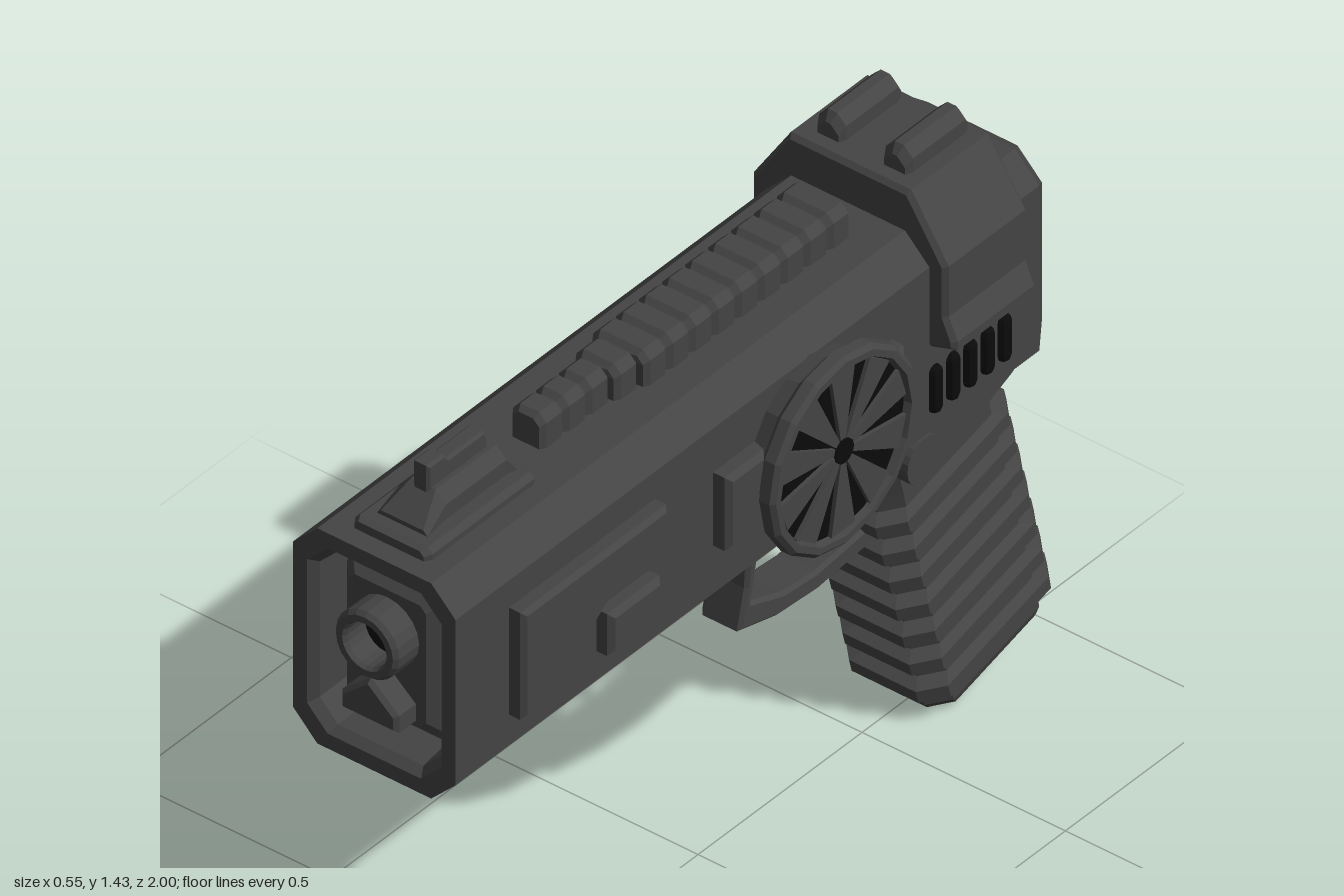
import * as THREE from 'three';

const CX = -0.014; // centre line of the body
const grey = new THREE.MeshStandardMaterial({ color: 0x444444, flatShading: true });
const dark = new THREE.MeshStandardMaterial({ color: 0x0b0b0b, flatShading: true });

// Skin of eight-sided sections [z, halfX, halfY, chamfer, yCentre]
function loft(sections) {
  const pos = [], index = [];
  for (const [z, w, h, c, y = 0] of sections) {
    const ring = [[w, -h + c], [w, h - c], [w - c, h], [-w + c, h],
      [-w, h - c], [-w, -h + c], [-w + c, -h], [w - c, -h]];
    for (const [px, py] of ring) pos.push(px, py + y, z);
  }
  const last = (sections.length - 1) * 8;
  for (let s = 0; s < last; s += 8)
    for (let i = 0; i < 8; i++) {
      const j = (i + 1) % 8;
      index.push(s + i, s + j, s + 8 + j, s + i, s + 8 + j, s + 8 + i);
    }
  for (let i = 1; i < 7; i++) index.push(0, i + 1, i, last, last + i, last + i + 1);
  const g = new THREE.BufferGeometry();
  g.setAttribute('position', new THREE.Float32BufferAttribute(pos, 3));
  g.setIndex(index);
  g.computeVertexNormals();
  return g;
}

const shapeOf = pts => new THREE.Shape(pts.map(p => new THREE.Vector2(...p)));

// Outline in (z, y) given thickness from x0 to x1, with a small bevel
function side(pts, x0, x1, bevel = 0.008, hole) {
  const shape = shapeOf(pts);
  if (hole) shape.holes.push(shapeOf(hole));
  const g = new THREE.ExtrudeGeometry(shape, {
    depth: x1 - x0 - 2 * bevel, bevelEnabled: bevel > 0, bevelThickness: bevel,
    bevelSize: bevel, bevelOffset: -bevel, bevelSegments: 1, curveSegments: 8,
  });
  return g.rotateY(-Math.PI / 2).translate(x1 - bevel, 0, 0);
}

const rect = (a, b, c, d) => [[a, c], [b, c], [b, d], [a, d]];

export function createModel() {
  const model = new THREE.Group();
  const body = new THREE.Group();
  body.name = 'body';
  body.position.x = CX;
  model.add(body);
  const add = (name, geo, mat = grey, parent = body) => {
    const m = new THREE.Mesh(geo, mat);
    m.name = name;
    parent.add(m);
    return m;
  };

  // Long slide with a recessed muzzle and recessed rear plate
  const yc = 1.0275;
  add('slide', loft([
    [-0.835, 0.10, 0.15, 0.04, yc], [-0.855, 0.115, 0.165, 0.045, yc], [-0.855, 0.17, 0.225, 0.06, yc],
    [-0.81, 0.2, 0.2575, 0.06, yc], [0.97, 0.2, 0.2575, 0.06, yc], [0.97, 0.165, 0.222, 0.05, yc],
    [0.95, 0.15, 0.207, 0.045, yc], [0.87, 0.145, 0.2, 0.045, yc]]));

  // Muzzle plate, barrel and lower wedge
  add('muzzlePlate', loft([[0.86, 0.115, 0.165, 0.015, 1.035], [0.91, 0.115, 0.165, 0.015, 1.035],
    [0.93, 0.095, 0.145, 0.015, 1.035]]));
  const barrel = [[0.078, 0], [0.078, 0.1], [0.07, 0.11], [0.055, 0.11], [0.05, 0.1], [0.05, 0]];
  add('barrel', new THREE.LatheGeometry(barrel.map(p => new THREE.Vector2(...p)), 20)
    .rotateX(Math.PI / 2).translate(0, 1.085, 0.89));
  add('bore', new THREE.CircleGeometry(0.052, 20).translate(0, 1.085, 0.935), dark);
  add('muzzleWedge', new THREE.ExtrudeGeometry(
    shapeOf([[-0.07, 0.9], [0.07, 0.9], [0.07, 0.94], [0, 1.0], [-0.07, 0.94]]),
    { depth: 0.07, bevelThickness: 0.01, bevelSize: 0.008, bevelOffset: -0.008, bevelSegments: 1 })
    .translate(0, 0, 0.91));

  // Saddle collar over the rear, flared at its lower edge
  const half = [[0.2, 1.03], [0.262, 1.05], [0.262, 1.07], [0.24, 1.12], [0.24, 1.24], [0.148, 1.38]];
  const saddle = [...half, ...half.map(([x, y]) => [-x, y]).reverse()];
  add('rearCollar', new THREE.ExtrudeGeometry(shapeOf(saddle),
    { depth: 0.232, bevelThickness: 0.01, bevelSize: 0.01, bevelOffset: -0.01, bevelSegments: 1 })
    .translate(0, 0, -0.717));

  // Rear sight posts
  for (const s of [-1, 1])
    add('rearSight', loft([[-0.705, 0.026, 0.04, 0.02, 1.375], [-0.69, 0.033, 0.06, 0.022, 1.375],
      [-0.53, 0.033, 0.06, 0.022, 1.375], [-0.515, 0.026, 0.04, 0.02, 1.375]])).position.x = s * 0.082;

  // Front sight: stepped base and blade
  add('frontSightFoot', loft([[0.587, 0.085, 0.02, 0.01, 1.285], [0.6, 0.095, 0.025, 0.012, 1.285],
    [0.91, 0.095, 0.025, 0.012, 1.285], [0.925, 0.085, 0.02, 0.01, 1.285]]));
  add('frontSightBase', loft([[0.61, 0.062, 0.02, 0.01, 1.3], [0.635, 0.055, 0.07, 0.025, 1.3],
    [0.82, 0.055, 0.07, 0.025, 1.3], [0.885, 0.062, 0.02, 0.01, 1.3]]));
  add('frontSightBlade', side([[0.64, 1.35], [0.83, 1.35], [0.83, 1.425], [0.78, 1.425],
    [0.765, 1.41], [0.655, 1.41]], -0.02, 0.02, 0.006));

  // Notched top rail, narrowing toward the muzzle
  const top = [];
  for (let i = 0; i < 13; i++) {
    const z = -0.4 + i * 0.07, w = i < 9 ? 0.07 : i === 9 ? 0.055 : 0.041;
    top.push([z, w - 0.008, 0.052, 0.015, 1.3], [z + 0.01, w, 0.062, 0.018, 1.3],
      [z + 0.055, w, 0.062, 0.018, 1.3], [z + 0.068, w - 0.008, 0.052, 0.015, 1.3]);
  }
  add('topRail', loft(top));

  // Lower rail: front block, tip and ribbed strip
  add('lowerRailBlock', side([[0.81, 0.78], [0.82, 0.71], [0.8, 0.7], [0.6, 0.7], [0.52, 0.745], [0.5, 0.78]], -0.1, 0.1, 0.012));
  add('lowerRailTip', side(rect(0.8, 0.9, 0.725, 0.78), -0.085, 0.085));
  const under = [];
  for (let i = 0; i < 9; i++) {
    const z = 0.005 + i * 0.058;
    under.push([z, 0.07, 0.035, 0.012, 0.78], [z + 0.01, 0.08, 0.046, 0.015, 0.78],
      [z + 0.044, 0.08, 0.046, 0.015, 0.78], [z + 0.055, 0.07, 0.035, 0.012, 0.78]);
  }
  add('lowerRailRibs', loft(under));
  for (const s of [-1, 1])
    add('railStud', new THREE.CylinderGeometry(0.024, 0.024, 0.09, 12).rotateX(Math.PI / 2)
      .translate(s * 0.048, 0.737, 0.86));

  // Stepped panels, small plates and vent slots on both sides
  const panel = [[0.807, 1.16], [0.362, 1.16], [0.362, 1.045], [0.544, 1.04], [0.635, 0.968], [0.635, 0.904], [0.807, 0.904]];
  for (const s of [-1, 1]) {
    const [a, b] = s > 0 ? [0.18, 0.237] : [-0.237, -0.18];
    add('sidePanel', side(panel, a, b, 0.01));
    add('sidePlate', side(rect(0.38, 0.54, 0.9, 1.0), a, b, 0.012));
    for (let i = 0; i < 5; i++)
      add('ventSlot', new THREE.CapsuleGeometry(0.017, 0.08, 3, 8)
        .translate(s * 0.2, 0.928, (s > 0 ? -0.7 : 0) + i * 0.0525), dark);
  }

  // Right-hand-side fittings: port frame, lever and lower slab
  add('portFrame', side(rect(-0.26, 0.3, 1.03, 1.19), -0.206, -0.19, 0.003, rect(-0.24, 0.28, 1.05, 1.17)));
  add('lowerSlab', side(rect(-0.64, -0.14, 0.87, 0.95), -0.222, -0.18));
  add('leverStem', side(rect(0.27, 0.31, 1.0, 1.12), -0.23, -0.18));
  add('leverKnob', side(rect(0.255, 0.325, 1.03, 1.09), -0.247, -0.215));

  // Round fan on its mounting plate
  add('fanMount', side(rect(-0.36, 0.185, 0.945, 1.12), 0.18, 0.24, 0.012));
  const fan = new THREE.Group();
  fan.name = 'fan';
  fan.position.set(0.195, 1.037, -0.112);
  body.add(fan);
  const rim = [[0.19, 0], [0.2, 0.04], [0.215, 0.055], [0.225, 0.06], [0.225, 0.085], [0.215, 0.094],
    [0.2, 0.094], [0.195, 0.075], [0, 0.075]];
  add('fanHousing', new THREE.LatheGeometry(rim.map(p => new THREE.Vector2(...p)), 16).rotateZ(-Math.PI / 2), grey, fan);
  add('fanBack', new THREE.CircleGeometry(0.195, 32).rotateY(Math.PI / 2).translate(0.077, 0, 0), dark, fan);
  for (let i = 0; i < 10; i++)
    add('fanBlade', side([[0.02, -0.006], [0.19, -0.036], [0.19, 0.036], [0.02, 0.006]], 0.07, 0.086, 0), grey, fan)
      .rotation.x = (i + 0.5) * Math.PI / 5;
  add('fanHub', new THREE.CylinderGeometry(0.028, 0.028, 0.04, 12).rotateZ(Math.PI / 2).translate(0.07, 0, 0), dark, fan);

  // Hammer and rear block
  add('hammer', side([[-0.82, 1.18], [-0.91, 1.18], [-0.997, 0.98], [-0.94, 0.968], [-0.87, 1.12], [-0.82, 1.12]], -0.042, 0.042));
  add('rearBlock', side(rect(-0.9, -0.82, 0.85, 1.01), -0.085, 0.06, 0.015));

  // Raked grip with wrap-around ribs
  const grip = [[0, 0.1, 0.165, 0.04], [0.02, 0.107, 0.175, 0.04]];
  for (let i = 0; i < 7; i++) {
    const h = 0.055 + i * 0.08;
    grip.push([h, 0.107, 0.175, 0.04], [h + 0.008, 0.127, 0.203, 0.045],
      [h + 0.04, 0.127, 0.203, 0.045], [h + 0.05, 0.107, 0.175, 0.04]);
  }
  grip.push([0.62, 0.107, 0.173, 0.04], [0.85, 0.107, 0.173, 0.04]);
  const handle = add('grip', loft(grip).rotateX(-Math.PI / 2));
  handle.position.set(0, 0.052, -0.8);
  handle.rotation.x = 0.26;
  add('gripTail', side([[-0.68, 0.82], [-0.8, 0.82], [-0.893, 0.754], [-0.877, 0.69], [-0.786, 0.652],
    [-0.75, 0.6], [-0.66, 0.62]], -0.1, 0.1, 0.025));
  add('gripPin', new THREE.CylinderGeometry(0.054, 0.054, 0.274, 20).rotateZ(Math.PI / 2).translate(0, 0.695, -0.54));

  // Trigger and its guard
  const guard = [[-0.09, 0.8], [-0.09, 0.77], [-0.112, 0.69], [-0.105, 0.6], [-0.083, 0.508], [-0.2, 0.478], [-0.32, 0.47],
    [-0.5, 0.488], [-0.5, 0.535], [-0.32, 0.517], [-0.22, 0.525], [-0.122, 0.56], [-0.143, 0.66], [-0.145, 0.8]];
  add('triggerGuard', side(guard, -0.05, 0.05));
  add('trigger', side([[-0.33, 0.8], [-0.335, 0.76], [-0.36, 0.69], [-0.315, 0.605], [-0.34, 0.592],
    [-0.385, 0.67], [-0.395, 0.8]], -0.027, 0.027, 0.005));

  return model;
}
